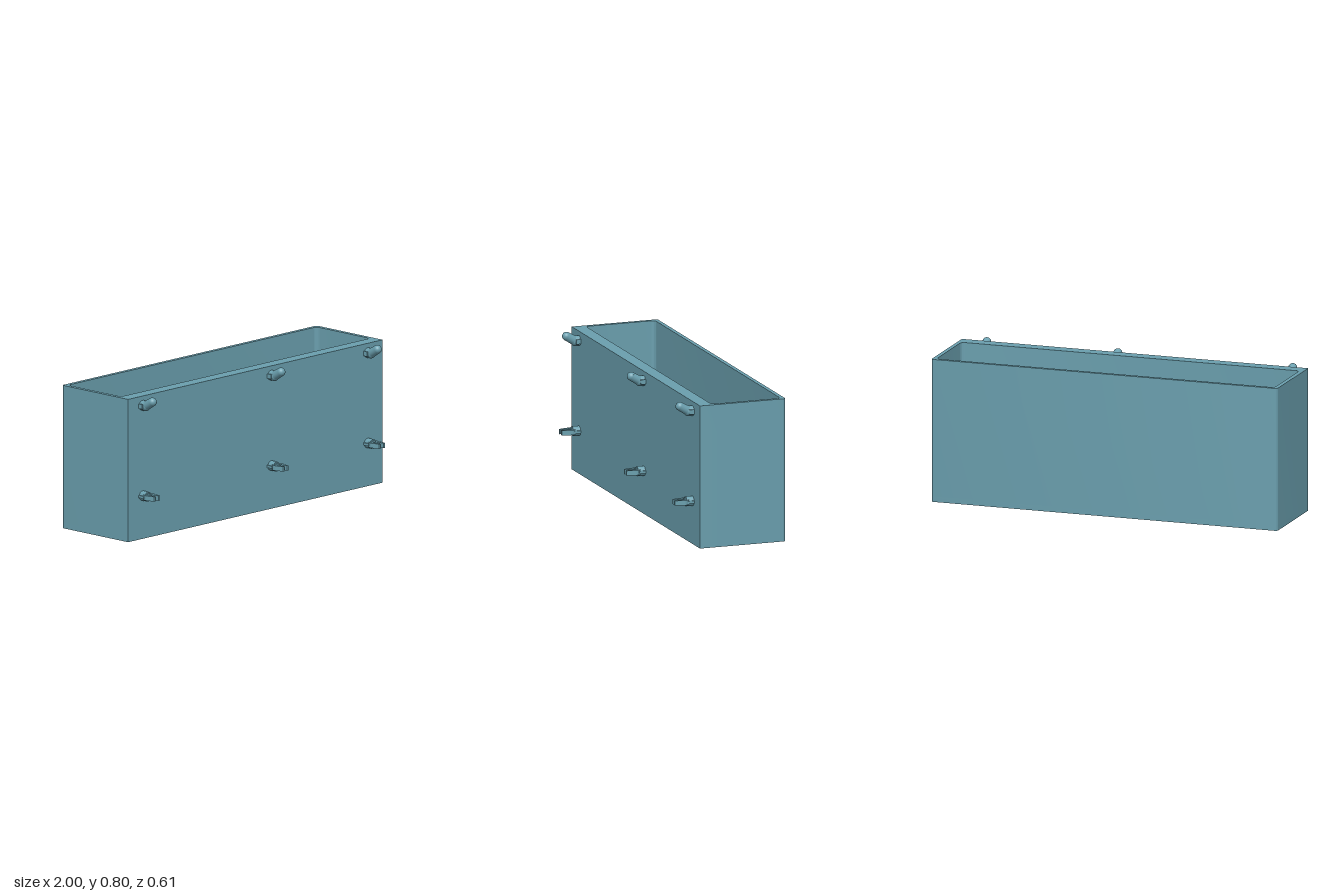
import * as THREE from 'three';
import { toCreasedNormals } from 'three/addons/utils/BufferGeometryUtils.js';

const material = new THREE.MeshStandardMaterial({ color: 0x6a9fae });
const FRONT = 0.195, BACK = -0.303, HEIGHT = 0.797, FLOOR = 0.03;

function add(parent, name, geometry, x = 0, y = 0, z = 0) {
  const mesh = new THREE.Mesh(geometry, material);
  mesh.name = name;
  mesh.position.set(x, y, z);
  parent.add(mesh);
  return mesh;
}

// Rectangle in plan (x, z) with separate front and back corner radii
function planRect(PathClass, w, zBack, zFront, rb, rf) {
  const p = new PathClass(), f = -zFront, b = -zBack, q = Math.PI / 2;
  p.moveTo(-w + rf, f);
  p.lineTo(w - rf, f);
  if (rf) p.absarc(w - rf, f + rf, rf, -q, 0);
  p.lineTo(w, b - rb);
  p.absarc(w - rb, b - rb, rb, 0, q);
  p.lineTo(-w + rb, b);
  p.absarc(-w + rb, b - rb, rb, q, 2 * q);
  p.lineTo(-w, f + rf);
  if (rf) p.absarc(-w + rf, f + rf, rf, 2 * q, 3 * q);
  return p;
}

function raise(shape, depth) {
  const g = new THREE.ExtrudeGeometry(shape, { depth, bevelEnabled: false, curveSegments: 8 });
  return toCreasedNormals(g.rotateX(-Math.PI / 2), 0.6);
}

// Round stub pointing along +z, starting at z = 0
function stub(r, length) {
  return new THREE.CylinderGeometry(r, r, length, 24).rotateX(Math.PI / 2).translate(0, 0, length / 2);
}

// Upturned peg with a rounded tip
function hookPeg() {
  const g = new THREE.Group();
  g.name = 'hookPeg';
  const elbow = new THREE.Vector3(0, 0, 0.023), tip = new THREE.Vector3(0, 0.03, 0.073);
  add(g, 'hookBase', stub(0.028, 0.023));
  add(g, 'hookElbow', new THREE.SphereGeometry(0.028, 24, 16), 0, 0, elbow.z);
  const arm = add(g, 'hookArm', new THREE.CylinderGeometry(0.024, 0.026, elbow.distanceTo(tip), 24));
  arm.position.lerpVectors(elbow, tip, 0.5);
  arm.quaternion.setFromUnitVectors(new THREE.Vector3(0, 1, 0), tip.clone().sub(elbow).normalize());
  add(g, 'hookTip', new THREE.SphereGeometry(0.024, 24, 16), tip.x, tip.y, tip.z);
  for (const s of [-1, 1]) add(g, 'hookRib', new THREE.BoxGeometry(0.012, 0.026, 0.028), s * 0.027, 0, 0.014);
  return g;
}

// Snap clip: round collar with two barbed prongs and a gap between
function snapClip() {
  const g = new THREE.Group();
  g.name = 'snapClip';
  add(g, 'clipCollar', stub(0.027, 0.041));
  add(g, 'clipNeck', stub(0.02, 0.047));
  for (const s of [-1, 1]) {
    add(g, 'clipRib', new THREE.BoxGeometry(0.012, 0.014, 0.038), s * 0.027, 0, 0.019);
    const profile = [[0.01, 0.03], [0.026, 0.03], [0.034, 0.046], [0.034, 0.056],
      [0.022, 0.108], [0.01, 0.108]];
    const shape = new THREE.Shape(profile.map(([x, z]) => new THREE.Vector2(s * x, z)));
    const prong = new THREE.ExtrudeGeometry(shape, { depth: 0.027, bevelEnabled: false });
    add(g, 'clipProng', prong.rotateX(Math.PI / 2).translate(0, 0.0135, 0));
  }
  return g;
}

export function createModel() {
  const model = new THREE.Group();
  model.name = 'hangingBin';

  // Open bin with a thicker front wall
  const walls = planRect(THREE.Shape, 1, BACK, FRONT, 0.016, 0);
  walls.holes.push(planRect(THREE.Path, 0.976, -0.28, 0.121, 0.022, 0.022));
  add(model, 'binWalls', raise(walls, HEIGHT - FLOOR), 0, FLOOR, 0);
  add(model, 'binFloor', raise(planRect(THREE.Shape, 1, BACK, FRONT, 0.016, 0), FLOOR));

  // Three columns of mounting pegs
  for (const x of [-0.885, 0.125, 0.882]) {
    const hook = hookPeg(), clip = snapClip();
    hook.position.set(x, 0.745, FRONT);
    clip.position.set(x, 0.241, FRONT);
    model.add(hook, clip);
  }

  // Centre the depth, pegs included
  return model;
}
